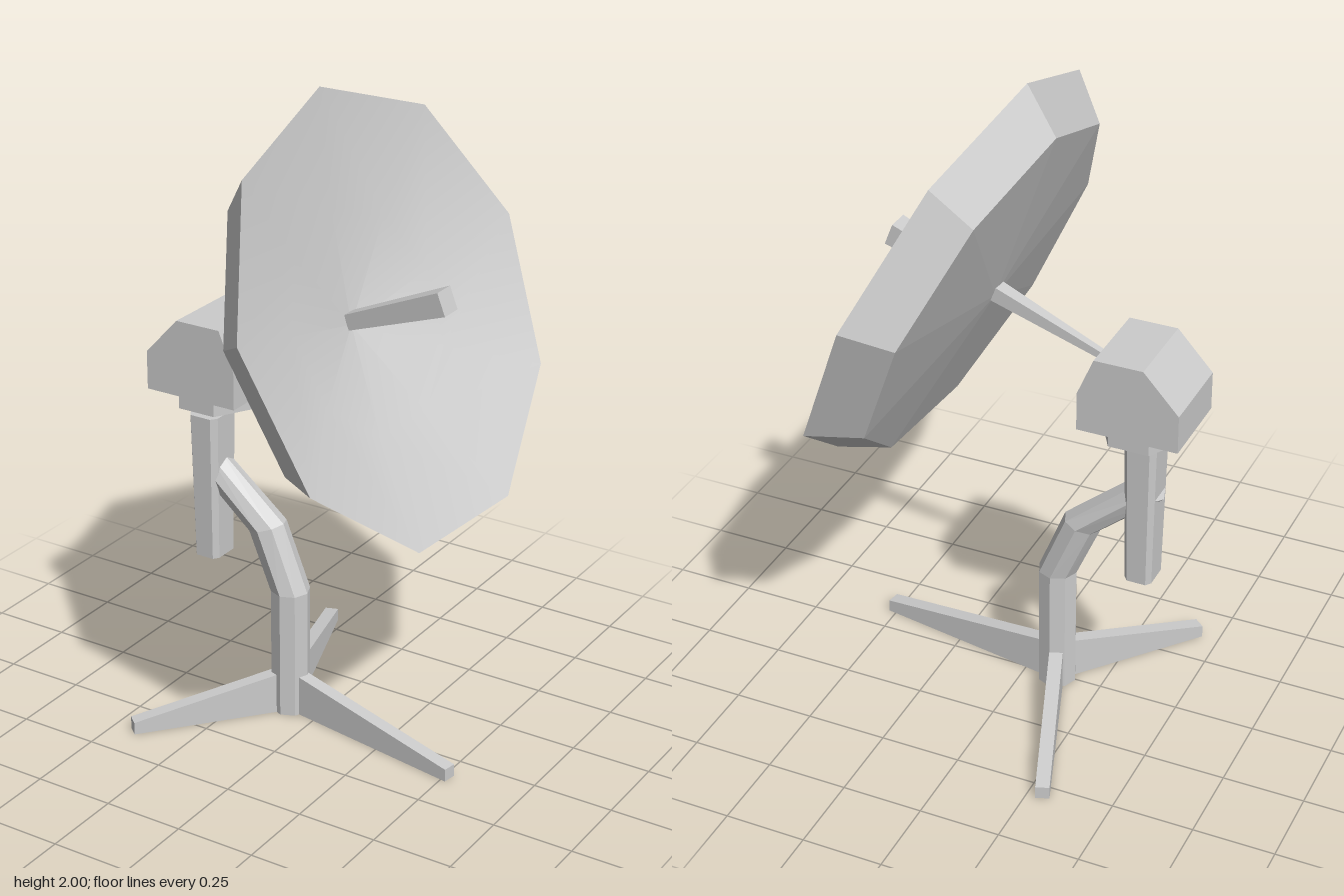
import * as THREE from 'three';

const flat = new THREE.MeshStandardMaterial({ color: 0xcccccc, flatShading: true });
const smooth = new THREE.MeshStandardMaterial({ color: 0xcccccc });

function add(parent, name, geometry, material = flat) {
  const mesh = new THREE.Mesh(geometry, material);
  mesh.name = name;
  parent.add(mesh);
  return mesh;
}

// Flat outline extruded along z from z0 to z1
function slab(points, z0, z1) {
  const shape = new THREE.Shape(points.map(([x, y]) => new THREE.Vector2(x, y)));
  return new THREE.ExtrudeGeometry(shape, { depth: z1 - z0, bevelEnabled: false }).translate(0, 0, z0);
}

// Nine-sided turned form with its axis along +x and one corner at the top
function nineSided(profile) {
  const pts = profile.map(([r, h]) => new THREE.Vector2(r, h));
  return new THREE.LatheGeometry(pts, 9, -Math.PI / 2).rotateZ(-Math.PI / 2);
}

export function createModel() {
  const model = new THREE.Group();
  model.name = 'dishAntenna';

  // Three tapering feet: tip x, tip z relative to the post
  const base = new THREE.Group();
  base.name = 'tripodBase';
  base.position.set(-0.105, 0, -0.003);
  model.add(base);
  for (const [x, z] of [[0.625, 0.105], [-0.195, -0.55], [-0.325, 0.385]]) {
    const len = Math.hypot(x, z);
    const foot = add(base, 'foot', slab([[0, 0], [len, 0], [len, 0.04], [0.055, 0.13], [0, 0.13]], -0.021, 0.021));
    foot.rotation.y = -Math.atan2(z, x);
  }

  // Post bent back towards the column: x, y, tilt and scale of each ring
  const rings = [
    [-0.105, 0, 0, 1], [-0.105, 0.41, 0, 1], [-0.185, 0.605, 0.3, 0.97], [-0.405, 0.79, 0.8, 0.83],
  ];
  const post = new THREE.CylinderGeometry(0.061, 0.061, 3, 8, 3);
  const p = post.attributes.position;
  for (let i = 0; i < p.count; i++) {
    const [cx, cy, tilt, s] = rings[Math.round(p.getY(i) + 1.5)];
    const x = p.getX(i) * s;
    p.setXYZ(i, cx + x * Math.cos(tilt), cy + x * Math.sin(tilt), p.getZ(i) * s - 0.003);
  }
  post.computeVertexNormals();
  add(model, 'bentPost', post);

  // Upright column with chamfered corners and a bevelled foot
  const outline = [[-0.035, -0.065], [0.035, -0.065], [0.05, -0.045], [0.05, 0.045],
    [0.035, 0.065], [-0.035, 0.065], [-0.05, 0.045], [-0.05, -0.045]];
  const column = slab(outline, 0, 0.47);
  const q = column.attributes.position;
  for (let i = 0; i < q.count; i++) {
    if (q.getZ(i) < 0.01) q.setXYZ(i, q.getX(i) * 0.85, q.getY(i) * 0.85, 0);
  }
  column.rotateX(-Math.PI / 2);
  add(model, 'column', column).position.set(-0.38, 0.47, 0);

  // Collar and drive housing
  add(model, 'collar', new THREE.CylinderGeometry(0.125, 0.125, 0.055, 6).rotateY(Math.PI / 6))
    .position.set(-0.37, 0.9975, -0.01);
  add(model, 'housing', slab(
    [[-0.53, 1.02], [-0.22, 1.02], [-0.22, 1.14], [-0.27, 1.26], [-0.42, 1.26], [-0.53, 1.14]], -0.145, 0.12));

  // Dish, pitched upwards and turned slightly to the front
  const dish = new THREE.Group();
  dish.name = 'dish';
  dish.position.set(0.257, 1.382, 0.005);
  dish.rotation.set(0, -0.069, 0.405, 'YZX');
  model.add(dish);
  add(dish, 'dishBack', nineSided([[0, -0.175], [0.576, -0.14], [0.673, 0]]));
  add(dish, 'dishBowl', nineSided([[0.673, 0], [0.336, -0.1], [0, -0.165]]), smooth);

  // Square feed rod, widening from the housing to its tip
  const from = new THREE.Vector3(-0.27, 1.185, -0.005);
  const to = new THREE.Vector3(0.42, 1.455, -0.002);
  const dir = to.clone().sub(from);
  const rod = add(model, 'feedRod',
    new THREE.CylinderGeometry(0.05, 0.014, dir.length(), 4).rotateY(Math.PI / 4));
  rod.position.copy(from).add(to).multiplyScalar(0.5);
  rod.quaternion.setFromUnitVectors(new THREE.Vector3(0, 1, 0), dir.normalize());

  return model;
}
